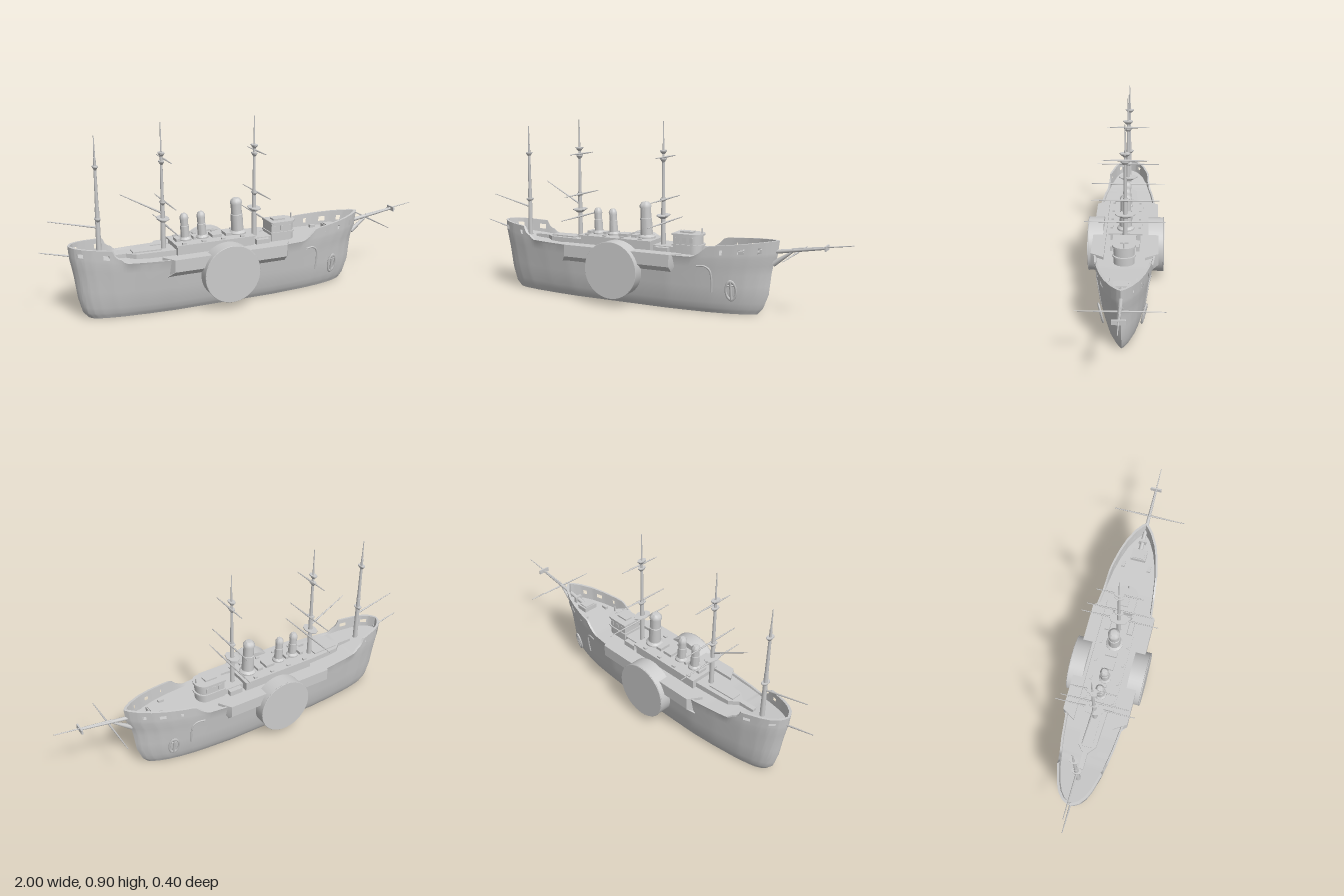
import * as THREE from 'three';
import { toCreasedNormals } from 'three/addons/utils/BufferGeometryUtils.js';

const grey = new THREE.MeshStandardMaterial({ color: 0xcccccc, side: THREE.DoubleSide });
const V = (x, y, z) => new THREE.Vector3(x, y, z);

// Linear lookup in a list of [key, value] pairs
function look(table, k) {
  if (k <= table[0][0]) return table[0][1];
  for (let i = 1; i < table.length; i++) {
    const [k0, a] = table[i - 1], [k1, b] = table[i];
    if (k <= k1) return a + (b - a) * (k - k0) / (k1 - k0);
  }
  return table[table.length - 1][1];
}

// Hull lines: v runs 0 (keel) to 1 (deck) to 2 (bulwark top)
const STERN = [[0, -0.79], [0.1, -0.815], [0.35, -0.835], [0.75, -0.85], [1, -0.865], [2, -0.87]];
const BOW = [[0, 0.56], [0.1, 0.585], [0.35, 0.612], [0.75, 0.625], [0.9, 0.635], [1, 0.65], [2, 0.66]];
const FLARE = [[0, 0.56], [0.1, 0.67], [0.35, 0.8], [0.7, 0.9], [1, 0.98], [2, 1]];
const BREADTH = [[-0.87, 0], [-0.865, 0.02], [-0.85, 0.045], [-0.82, 0.069], [-0.78, 0.087], [-0.7, 0.11], [-0.55, 0.135],
  [-0.41, 0.15], [0.17, 0.15], [0.32, 0.134], [0.4, 0.123], [0.48, 0.104], [0.55, 0.08], [0.61, 0.048], [0.645, 0.02], [0.66, 0]];
const DECK = [[-0.87, 0.3], [-0.66, 0.275], [-0.5, 0.266], [0.3, 0.266], [0.66, 0.285]];
const SHEER = [[-0.87, 0.36], [-0.69, 0.345], [-0.675, 0.31], [-0.65, 0.3], [-0.63, 0.28], [-0.4, 0.276],
  [0.28, 0.276], [0.32, 0.3], [0.35, 0.33], [0.45, 0.34], [0.66, 0.362]];

function hullPoint(u, v, inset = 0) {
  const X = -0.87 + 1.53 * u, d = look(DECK, X), s = look(SHEER, X);
  const x = THREE.MathUtils.lerp(look(STERN, v) + inset, look(BOW, v) - inset, u);
  const z = Math.max(0, look(BREADTH, X) * look(FLARE, v) - inset);
  return V(x, v <= 1 ? v * d : d + (v - 1) * (s - d), z);
}

function loft(rows, closedRing, skip = () => false) {
  const pos = [], idx = [], n = rows[0].length;
  rows.forEach(r => r.forEach(p => pos.push(p.x, p.y, p.z)));
  for (let i = 0; i < rows.length - 1; i++) for (let j = 0; j < (closedRing ? n : n - 1); j++) {
    if (skip(i, j)) continue;
    const k = (j + 1) % n, a = i * n + j, b = i * n + k, c = a + n, e = b + n;
    idx.push(a, b, c, b, e, c);
  }
  const g = new THREE.BufferGeometry();
  g.setAttribute('position', new THREE.Float32BufferAttribute(pos, 3));
  g.setIndex(idx);
  return toCreasedNormals(g, 0.6);
}

function mesh(parent, name, geo, x = 0, y = 0, z = 0) {
  const m = new THREE.Mesh(geo, grey);
  m.name = name;
  m.position.set(x, y, z);
  parent.add(m);
  return m;
}

// Box given by its x range, y range, full depth and centre z
const box = (p, name, x0, x1, y0, y1, d, z = 0) =>
  mesh(p, name, new THREE.BoxGeometry(x1 - x0, y1 - y0, d), (x0 + x1) / 2, (y0 + y1) / 2, z);

// Tapered round bar between two points
function bar(p, name, a, b, r0, r1 = r0, sides = 8) {
  const dir = b.clone().sub(a), mid = a.clone().add(b).multiplyScalar(0.5);
  const m = mesh(p, name, new THREE.CylinderGeometry(r1, r0, dir.length(), sides), mid.x, mid.y, mid.z);
  m.quaternion.setFromUnitVectors(V(0, 1, 0), dir.normalize());
  return m;
}

// Flat plan outline in x/z extruded upward from y0 to y1
function slab(p, name, pts, y0, y1) {
  const g = new THREE.ExtrudeGeometry(new THREE.Shape(pts.map(q => new THREE.Vector2(...q))), { depth: y1 - y0, bevelEnabled: false });
  g.rotateX(-Math.PI / 2);
  return mesh(p, name, toCreasedNormals(g, 0.6), 0, y0, 0);
}

function buildHull(p) {
  const ports = [-0.83, -0.72, 0.42, 0.51, 0.59];
  const section = [0, 0.05, 0.1, 0.2, 0.35, 0.5, 0.7, 0.85, 1, 1.25, 1.65, 2].map(v => [v, 0])
    .concat([2, 1.65, 1.25, 1].map(v => [v, 0.009]));
  const N = 110;
  for (const side of [1, -1]) {
    const rows = [];
    for (let i = 0; i <= N; i++) {
      const t = i / N, u = t - 0.7 * Math.sin(2 * Math.PI * t) / (2 * Math.PI);
      const r = section.map(([v, inset]) => hullPoint(u, v, inset));
      r.unshift(r[0].clone().setZ(0));
      r.push(r[r.length - 1].clone().setZ(0));
      r.forEach(q => { q.z *= side; });
      rows.push(side > 0 ? r.reverse() : r);
    }
    const last = section.length;
    // gun ports cut through both skins of the bulwark
    const skip = (i, j) => {
      const k = side > 0 ? last - j : j;
      const x = -0.87 + 1.53 * ((a => a - 0.7 * Math.sin(2 * Math.PI * a) / (2 * Math.PI))((i + 0.5) / N));
      return (k === 10 || k === 14) && ports.some(q => Math.abs(x - q) < 0.012);
    };
    mesh(p, 'hull', loft(rows, false, skip));

    // raised rib behind the anchor
    const rib = [[0.775, 0.87], [0.8, 0.87], [0.818, 0.8], [0.826, 0.65], [0.828, 0.4]].map(([u, v]) => {
      const q = hullPoint(u, v);
      return q.setZ(q.z * side);
    });
    mesh(p, 'bowRib', new THREE.TubeGeometry(new THREE.CatmullRomCurve3(rib), 24, 0.005, 6));
  }
}

function buildSides(p, s) {
  // paddle guard with a sloped underside
  const ring = (y, pts) => pts.map(([x, z]) => V(x, y, z * s));
  const plan = [[-0.45, 0.1], [-0.41, 0.165], [0.17, 0.165], [0.21, 0.1]];
  const low = [[-0.45, 0.1], [-0.45, 0.122], [0.17, 0.122], [0.19, 0.1]];
  const centre = plan.map(() => [-0.12, 0.1]);
  mesh(p, 'paddleGuard', loft([ring(0.28, centre), ring(0.28, plan), ring(0.22, plan), ring(0.18, low), ring(0.18, centre)], true));
  mesh(p, 'paddleBox', new THREE.CylinderGeometry(0.14, 0.14, 0.08, 48).rotateX(Math.PI / 2), -0.13, 0.18, 0.155 * s);
  mesh(p, 'paddleRim', new THREE.TorusGeometry(0.139, 0.003, 6, 48), -0.13, 0.18, 0.192 * s);

  // anchor lashed to the bow
  const a = new THREE.Group();
  a.name = 'anchor';
  a.position.set(0.46, 0.125, 0.1 * s);
  a.rotation.set(0.2 * s, 0.25 * s, 0);
  p.add(a);
  bar(a, 'shank', V(0, -0.045, 0), V(0, 0.045, 0), 0.006);
  mesh(a, 'anchorLoop', new THREE.TorusGeometry(0.024, 0.005, 6, 20)).scale.y = 1.9;
  bar(a, 'stock', V(-0.02, 0.025, 0), V(0.02, 0.025, 0), 0.004);

  // deck guns and davit posts
  box(p, 'deckGun', 0.42, 0.45, 0.27, 0.287, 0.018, 0.07 * s);
  for (const x of [-0.34, -0.24, -0.14, -0.04]) box(p, 'houseLocker', x, x + 0.02, 0.32, 0.328, 0.012, 0.07 * s);
  box(p, 'stair', 0.05, 0.12, 0.266, 0.292, 0.025, 0.06 * s);
}

function buildDeck(p) {
  // long boiler house with roof
  box(p, 'deckhouse', -0.365, 0.03, 0.26, 0.315, 0.15);
  box(p, 'deckhouseRoof', -0.372, 0.035, 0.312, 0.32, 0.17);
  for (const [x0, x1, d] of [[-0.17, -0.12, 0.06], [-0.1, -0.07, 0.06], [-0.355, -0.335, 0.05], [-0.265, -0.25, 0.04]])
    box(p, 'skylight', x0, x1, 0.32, 0.334, d);
  box(p, 'forwardPlatform', 0.03, 0.14, 0.26, 0.295, 0.09);
  // low raised deck aft
  slab(p, 'aftDeckhouse', [[-0.68, -0.012], [-0.6, -0.012], [-0.56, -0.045], [-0.365, -0.055], [-0.365, 0.055], [-0.56, 0.045], [-0.6, 0.012], [-0.68, 0.012]], 0.26, 0.292);
  slab(p, 'aftCoaming', [[-0.57, -0.025], [-0.43, -0.03], [-0.43, 0.03], [-0.57, 0.025]], 0.292, 0.298);
  // wheelhouse, rounded towards the bow
  const round = (x0, x1, h) => {
    const pts = [[x0, h], [x0, -h]];
    for (let i = 0; i <= 12; i++) {
      const t = -Math.PI / 2 + Math.PI * i / 12;
      pts.push([x1 - h * 0.8 + Math.cos(t) * h * 0.8, Math.sin(t) * h]);
    }
    return pts;
  };
  slab(p, 'wheelhouse', round(0.14, 0.275, 0.05), 0.26, 0.355);
  slab(p, 'wheelhouseLedge', round(0.135, 0.284, 0.056), 0.305, 0.312);
  slab(p, 'wheelhouseRoof', round(0.135, 0.284, 0.056), 0.355, 0.364);
  box(p, 'roofHatch', 0.165, 0.23, 0.364, 0.372, 0.04);
  bar(p, 'roofPost', V(0.272, 0.36, 0), V(0.272, 0.39, 0), 0.004);
  for (const s of [1, -1]) for (const x of [0.155, 0.19, 0.225]) box(p, 'window', x, x + 0.02, 0.322, 0.345, 0.004, 0.05 * s);
  // foredeck hatch and companionway
  box(p, 'foreHatch', 0.47, 0.53, 0.27, 0.3, 0.08);
  box(p, 'hatchLid', 0.475, 0.525, 0.3, 0.305, 0.06);
  box(p, 'bowBitts', 0.57, 0.585, 0.275, 0.315, 0.04);

  // funnels: base collar, tube, rim and domed cap, raked aft
  for (const [x, r, top] of [[-0.3, 0.019, 0.455], [-0.213, 0.019, 0.455], [-0.025, 0.027, 0.503]]) {
    const h = top - 0.315;
    const prof = [[r * 1.6, 0], [r * 1.6, 0.012], [r * 1.15, 0.022], [r * 1.1, h * 0.55], [r, h * 0.56], [r, h - 0.03],
      [r * 1.12, h - 0.03], [r * 1.12, h - 0.02], [r * 0.95, h - 0.012], [r * 0.65, h - 0.003], [0, h]];
    const g = toCreasedNormals(new THREE.LatheGeometry(prof.map(q => new THREE.Vector2(...q)), 20), 0.6);
    mesh(p, 'funnel', g, x, 0.315, 0).rotation.z = 0.05;
  }
}

// Mast in two tapering lengths; tops are [y, half width], yards are [y, half length]
function buildMast(p, name, x, height, tops, yards) {
  const m = new THREE.Group();
  m.name = name;
  m.position.x = x;
  p.add(m);
  bar(m, 'lowerMast', V(0, 0.26, 0), V(0, 0.53, 0), 0.013, 0.01, 10);
  bar(m, 'topMast', V(0, 0.5, 0), V(0, 0.76, 0), 0.009, 0.006);
  bar(m, 'topgallantMast', V(0, 0.74, 0), V(0, height, 0), 0.005, 0.002);
  for (const [y, r] of tops) {
    const g = new THREE.CylinderGeometry(r, r * 0.4, 0.014, 8);
    mesh(m, 'mastTop', g, 0, y - 0.01, 0).scale.x = 0.6;
    mesh(m, 'topRail', new THREE.CylinderGeometry(r * 1.05, r * 1.05, 0.005, 8), 0, y, 0).scale.x = 0.6;
  }
  for (const [y, l] of yards) for (const s of [1, -1]) bar(m, 'yard', V(0.013, y, 0), V(0.013, y, l * s), 0.005, 0.002, 6);
}

export function createModel() {
  const ship = new THREE.Group();
  ship.name = 'paddleSteamer';
  buildHull(ship);
  for (const s of [1, -1]) buildSides(ship, s);
  buildDeck(ship);

  const tops = [[0.757, 0.025], [0.717, 0.022], [0.52, 0.022], [0.44, 0.048]];
  const yards = [[0.727, 0.112], [0.52, 0.165], [0.405, 0.2]];
  buildMast(ship, 'foreMast', 0.065, 0.9, tops, yards);
  buildMast(ship, 'mainMast', -0.412, 0.9, tops, yards);
  buildMast(ship, 'mizzenMast', -0.725, 0.86, [[0.72, 0.022], [0.475, 0.024]], []);

  // gaffs, flagstaff, bowsprit and its yard
  bar(ship, 'mainGaff', V(-0.412, 0.465, 0), V(-0.615, 0.577, 0), 0.005, 0.002);
  bar(ship, 'mizzenGaff', V(-0.725, 0.432, 0), V(-0.952, 0.487, 0), 0.005, 0.002);
  bar(ship, 'flagstaff', V(-0.85, 0.31, 0), V(-1, 0.346, 0), 0.005, 0.002);
  bar(ship, 'bowsprit', V(0.53, 0.292, 0), V(0.88, 0.345, 0), 0.012, 0.006, 10);
  bar(ship, 'jibBoom', V(0.72, 0.328, 0), V(1, 0.366, 0), 0.005, 0.002);
  box(ship, 'bowspritCap', 0.874, 0.882, 0.335, 0.357, 0.06);
  for (const s of [1, -1]) bar(ship, 'spritYard', V(0.735, 0.307, 0), V(0.735, 0.307, 0.195 * s), 0.005, 0.002, 6);
  bar(ship, 'headKnee', V(0.63, 0.25, 0), V(0.72, 0.315, 0), 0.014, 0.005);
  return ship;
}
